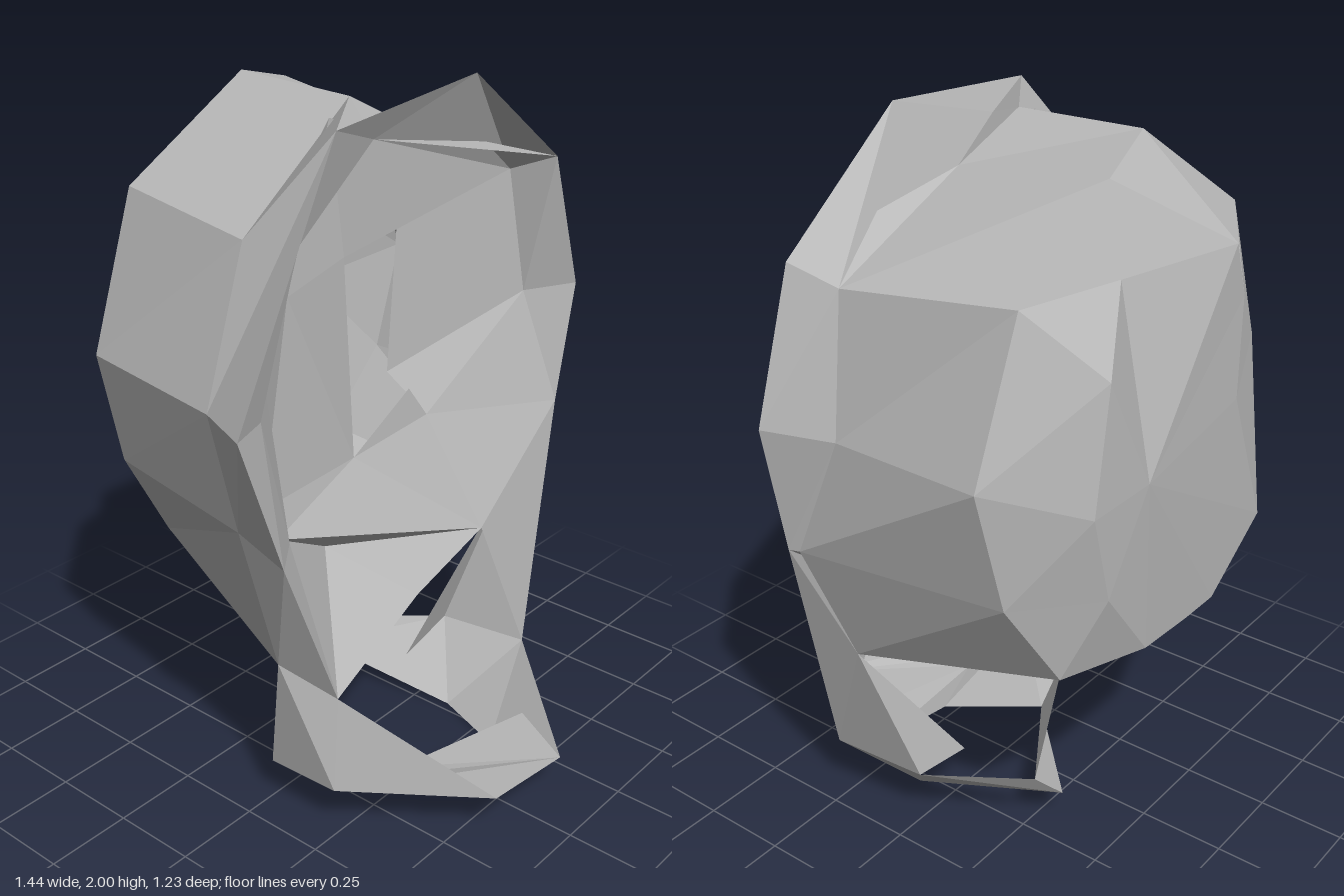
import * as THREE from 'three';

const shellGrey = new THREE.MeshStandardMaterial({
  color: 0xb8b8b8, flatShading: true, side: THREE.DoubleSide,
});

// Mesh from a flat run of triangle corners
function facets(name, corners) {
  const geo = new THREE.BufferGeometry();
  geo.setAttribute('position', new THREE.Float32BufferAttribute(corners.flat(), 3));
  geo.computeVertexNormals();
  const mesh = new THREE.Mesh(geo, shellGrey);
  mesh.name = name;
  return mesh;
}

// Skin stretched over cross-sections that all have the same number of points
function loft(name, loops, closed) {
  const out = [];
  for (let r = 0; r < loops.length - 1; r++) {
    const a = loops[r], b = loops[r + 1], n = a.length;
    for (let i = 0; i < (closed ? n : n - 1); i++) {
      const j = (i + 1) % n;
      out.push(a[i], b[i], a[j], a[j], b[i], b[j]);
    }
  }
  return facets(name, out);
}

// Triangle fan over one polygon
function panel(name, ...p) {
  const out = [];
  for (let i = 1; i < p.length - 1; i++) out.push(p[0], p[i], p[i + 1]);
  return facets(name, out);
}

export function createModel() {
  const model = new THREE.Group();
  model.name = 'helmet';

  // Cross-sections run from the crown round by +x, the base and -x
  const faceTop = [-0.2, 1.9, 0.2], browPeak = [0.18, 2.0, 0.22];
  const rim = [
    [-0.38, 1.96, 0.24], faceTop, [0.6, 1.7, 0.2], [0.72, 1.3, 0.21],
    [0.66, 0.94, 0.2], [0.3, 0.65, 0.2], [0, 0.56, 0.2], [-0.39, 0.43, 0.24],
    [-0.575, 0.9, 0.23], [-0.72, 1.3, 0.23], [-0.38, 1.96, 0.24],
  ];
  const front = [
    [-0.09, 1.96, 0.03], [0.12, 1.85, 0.06], [0.56, 1.65, 0.07], [0.63, 1.28, 0.04],
    [0.65, 0.94, 0.17], [0.55, 0.61, 0.08], [0, 0.57, 0.07], [-0.47, 0.52, 0.1],
    [-0.57, 0.95, 0.07], [-0.65, 1.3, 0.06], [-0.49, 1.69, 0.04],
  ];
  const rear = [
    [-0.07, 1.97, -0.36], [0.16, 1.91, -0.42], [0.52, 1.7, -0.43], [0.67, 1.3, -0.42],
    [0.6, 0.97, -0.45], [0.45, 0.72, -0.51], [-0.05, 0.56, -0.42], [-0.33, 0.68, -0.46],
    [-0.5, 0.97, -0.43], [-0.57, 1.3, -0.43], [-0.42, 1.72, -0.43],
  ];
  const back = [
    [-0.17, 1.7, -0.585], [0.22, 1.7, -0.5], [0.4, 1.53, -0.6], [0.45, 1.2, -0.6],
    [0.38, 0.95, -0.6], [0.2, 0.72, -0.6], [0, 0.71, -0.6], [-0.13, 0.71, -0.6],
    [-0.36, 0.87, -0.6], [-0.19, 1.28, -0.6], [-0.22, 1.55, -0.585],
  ];
  const tip = back.map(() => [0.25, 1.22, -0.62]);
  model.add(loft('shell', [front, rear, back, tip], true));
  model.add(loft('rimFlange', [rim, front], true));

  // Lining between the face and the rim
  const browEnd = [0.56, 1.65, 0.07], jawEnd = [0.61, 1.28, 0.1];
  const temple = [-0.48, 1.68, 0.1], cheekEdge = [-0.5, 1.4, 0.1], jawEdge = [-0.51, 1.0, 0.1];
  const jawLeft = [-0.48, 0.91, 0.12], lip = [-0.2, 0.74, 0.03];
  const bevel = [[-0.47, 1.7, 0.2], [-0.6, 1.3, 0.19], [-0.5, 0.93, 0.18]];
  model.add(panel('browLining', browPeak, rim[10], faceTop, browEnd, rim[2]));
  model.add(loft('sideLining', [
    [faceTop, rim[10], rim[9], rim[8]],
    [faceTop, ...bevel],
    [faceTop, temple, cheekEdge, jawEdge],
  ], false));
  model.add(panel('jawLining', rim[7], rim[8], bevel[2], jawLeft));
  model.add(panel('leftLining', jawEnd, browEnd, rim[2], rim[3], rim[4]));

  // Face panels round the viewing slot, slightly hollow on the right cheek
  const browTop = [-0.2, 1.93, 0.06], hollow = [-0.33, 1.5, 0.03];
  const slotTop = [-0.16, 1.57, 0.07], slotLow = [-0.1, 0.98, 0.05];
  const slotEnd = [0.22, 1.0, 0.05], slotNotch = [0.15, 1.1, 0.04];
  model.add(panel('brow', browTop, slotTop, browEnd));
  model.add(panel('rightCheek',
    hollow, slotTop, browTop, temple, cheekEdge, jawEdge, slotLow, slotTop));
  model.add(panel('lowerFace', slotLow, jawEdge, jawLeft, rim[5], slotEnd, slotNotch));
  model.add(panel('leftCheek', slotEnd, rim[5], rim[4], jawEnd));

  // Recessed cheek and the ledges above and below it
  const cheekTop = [0.19, 1.58, -0.04], cheekLow = [0.15, 1.13, -0.04];
  model.add(panel('cheekPanel', cheekTop, cheekLow, jawEnd, browEnd));
  model.add(panel('browLedge', slotTop, cheekTop, browEnd));
  model.add(panel('cheekLedge', cheekLow, slotEnd, jawEnd));

  // Jaw plate and the ledge above it
  model.add(panel('jawPlate', lip, jawLeft, rim[7], rim[6], rim[5]));
  model.add(panel('jawLip', jawLeft, lip, rim[5]));

  // Chin guard corners
  const sideA = [-0.42, 0.15, 0.25], sideB = [0.47, 0.2, 0.25];
  const noseA = [-0.15, 0.14, 0.6], noseB = [0.15, 0.11, 0.61];
  const innerA = [-0.17, 0.1, 0.28], innerB = [0.29, 0.1, 0.4];
  const lowA = [-0.05, 0, 0.29], lowB = [0.2, 0, 0.33], lowC = [0.28, 0, 0.11];
  const heelA = [-0.42, 0.14, 0.02], heelTop = [-0.3, 0.18, 0], napeA = [-0.15, 0.08, -0.02];
  const backB = [0.44, 0.19, -0.03], strutFoot = [0.23, 0.15, -0.02];

  // Struts between shell and chin guard
  model.add(panel('rightStrut', rim[7], front[7], sideA));
  model.add(panel('rightStrutBack', front[7], heelA, sideA));
  model.add(panel('leftStrut', rim[4], rim[5], sideB));
  model.add(panel('leftStrutSide', rim[4], sideB, front[5]));
  model.add(panel('leftStrutBack', front[5], sideB, backB));
  model.add(panel('leftStrutInner', front[5], strutFoot, backB));

  // Chin guard: top plate, sides and underside
  model.add(panel('chinTop', innerA, sideA, noseA, noseB, innerB));
  model.add(panel('chinTopLeft', innerB, noseB, sideB));
  model.add(panel('chinSlope', rim[7], innerA, sideA));
  model.add(panel('chinSide', rim[7], sideA, noseA));
  model.add(panel('chinUnderside', noseB, noseA, sideA, lowB));
  model.add(panel('chinSideLeft', noseB, lowB, sideB));
  model.add(panel('chinInner', innerA, lowA, lowB, innerB));

  // Band round the neck
  model.add(loft('neckBand', [
    [sideA, heelTop, [0.25, 0.18, -0.29], backB, sideB],
    [heelA, napeA, [0.17, 0.1, -0.33], lowC, lowB],
  ], false));
  model.add(panel('neckFloor', sideA, heelA, napeA, lowA, innerA));
  return model;
}
